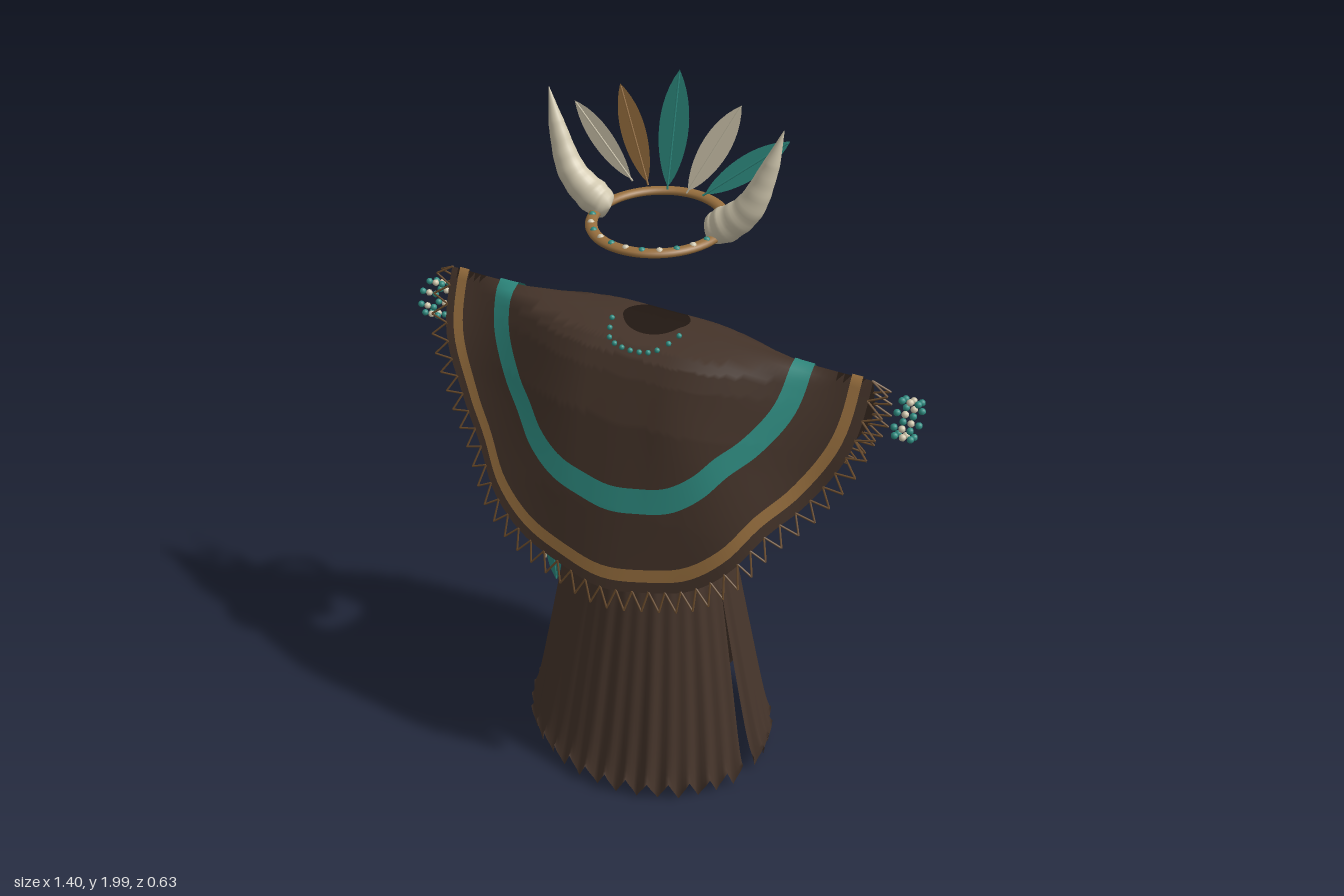
import * as THREE from 'three';
import { mergeGeometries } from 'three/addons/utils/BufferGeometryUtils.js';
import { ParametricGeometry } from 'three/addons/geometries/ParametricGeometry.js';

const V = (x, y, z = 0) => new THREE.Vector3(x, y, z);
const TAU = Math.PI * 2;

function material(name, color, side = THREE.FrontSide) {
  const m = new THREE.MeshStandardMaterial({ color, side });
  m.name = name;
  return m;
}
const hide = material('dark hide', 0x45342a, THREE.DoubleSide);
const skirtHide = material('skirt hide', 0x46352b, THREE.DoubleSide);
const teal = material('teal', 0x2f8d82, THREE.DoubleSide);
const tan = material('tan leather', 0x99703f, THREE.DoubleSide);
const cord = material('brown cord', 0x6b4c2c);
const bone = material('bone', 0xd0c7ae, THREE.DoubleSide);

function add(parent, name, geometry, mat, position) {
  const mesh = new THREE.Mesh(geometry, mat);
  mesh.name = name;
  if (position) mesh.position.copy(position);
  parent.add(mesh);
  return mesh;
}

// Piecewise linear lookup that extrapolates past the last point
function lookup(table, s) {
  let i = 1;
  while (i < table.length - 1 && s > table[i][0]) i++;
  const [a, b] = [table[i - 1], table[i]];
  return a[1] + (b[1] - a[1]) * (s - a[0]) / (b[0] - a[0]);
}

// Thin rod between two points
function rod(a, b, r, sides = 5) {
  const d = b.clone().sub(a);
  const g = new THREE.CylinderGeometry(r, r, d.length(), sides);
  g.applyQuaternion(new THREE.Quaternion().setFromUnitVectors(V(0, 1, 0), d.normalize()));
  return g.translate((a.x + b.x) / 2, (a.y + b.y) / 2, (a.z + b.z) / 2);
}

const beads = (points, r) => mergeGeometries(
  points.map((p) => new THREE.SphereGeometry(r, 10, 8).translate(p.x, p.y, p.z)));

// Poncho hem in cloth space: x across, y = signed drop from the shoulder fold
const quarter = [[0.585, 0], [0.57, 0.16], [0.49, 0.31], [0.41, 0.4], [0.34, 0.5], [0.24, 0.585], [0.12, 0.625], [0, 0.645]];
const half = [...quarter, ...quarter.slice(0, -1).reverse().map(([x, d]) => [-x, d])];
const hem = new THREE.CatmullRomCurve3(
  [...half, ...half.slice(1, -1).reverse().map(([x, d]) => [x, -d])].map(([x, d]) => V(x, d)), true);
hem.arcLengthDivisions = 800;
const drape = [[0, 0], [0.02, 0.1], [0.04, 0.125], [0.08, 0.148], [0.19, 0.19], [0.42, 0.245], [0.64, 0.29]];

// Poncho surface: u runs round the body, t runs from the neck (0) to the hem (1)
function cloth(u, t, out = V(0, 0)) {
  u = ((u % 1) + 1) % 1;
  const h = hem.getPointAt(u), a = u * TAU;
  const x = THREE.MathUtils.lerp(0.085 * Math.cos(a), h.x, t);
  const d = THREE.MathUtils.lerp((-0.035 + 0.085 * Math.sin(a)) * 0.2, h.y, t);
  const drop = Math.abs(d);
  const body = 1 - THREE.MathUtils.smoothstep(Math.abs(x), 0.1, 0.52);
  const z = lookup(drape, drop) * body + drop * 0.45 * (1 - body);
  const ripple = 0.006 * t * t * Math.sin(a * 9) * Math.min(1, drop * 4);
  return out.set(x, 1.405 - 0.025 * x - drop, Math.sign(d) * z + ripple);
}

// Point lifted off the cloth along its normal
function lifted(u, t, h, out = V(0, 0)) {
  const e = 0.004, p = cloth(u, t);
  const du = cloth(u + e, t).sub(cloth(u - e, t));
  const dt = cloth(u, t + e).sub(cloth(u, t - e));
  return out.copy(p).addScaledVector(du.cross(dt).normalize(), h);
}

function makePoncho() {
  const g = new THREE.Group();
  g.name = 'poncho';
  add(g, 'ponchoCloth', new ParametricGeometry((u, v, o) => cloth(u, v ** 1.6, o), 144, 44), hide);
  const band = (name, mat, t0, t1, rise) => add(g, name, new ParametricGeometry((u, v, o) => {
    const t = THREE.MathUtils.lerp(t0, t1, v) - rise * Math.abs(Math.sin(u * TAU));
    lifted(u, t, 0.005, o);
  }, 144, 5), mat);
  band('tealBand', teal, 0.6, 0.705, 0.055);
  band('tanBand', tan, 0.895, 0.95, 0);

  // Zigzag cord fringe
  const teeth = 84, rods = [];
  for (let i = 0; i < teeth; i++) {
    const tip = cloth((i + 0.5) / teeth, 1.085);
    rods.push(rod(cloth(i / teeth, 0.995), tip, 0.0028), rod(tip, cloth((i + 1) / teeth, 0.995), 0.0028));
  }
  add(g, 'hemFringe', mergeGeometries(rods), cord);

  const neck = Array.from({ length: 11 }, (_, i) => lifted(0.06 + 0.038 * i, 0.03, 0.004));
  add(g, 'neckBeads', beads(neck, 0.007), teal);
  return g;
}

// Rings of beads beside each shoulder
function makeShoulderBeads(side) {
  const g = new THREE.Group();
  g.name = side > 0 ? 'leftShoulderBeads' : 'rightShoulderBeads';
  [0.65, 0.67, 0.69].forEach((x, k) => {
    const ring = Array.from({ length: 8 }, (_, i) =>
      V(side * x, 1.285 + 0.047 * Math.sin(i * TAU / 8), -0.037 + 0.047 * Math.cos(i * TAU / 8)));
    add(g, 'beadRing', beads(ring, 0.009), k === 1 ? bone : teal);
  });
  return g;
}

function makeSkirt() {
  const g = new THREE.Group();
  g.name = 'skirt';
  const rx = [[0, 0.185], [0.1, 0.195], [0.32, 0.245], [1, 0.37]];
  const rz = [[0, 0.15], [0.1, 0.157], [0.32, 0.192], [1, 0.312]];
  const teeth = 36, slit = 0.28;
  // Pleated panel with a side slit and a pointed lower edge
  add(g, 'skirtPanel', new ParametricGeometry((u, v, o) => {
    const gap = Math.max(0, v - 0.34) * 0.11;
    const a = slit + gap + u * (TAU - 2 * gap);
    const tooth = Math.abs(2 * ((u * teeth) % 1) - 1);
    const pleat = 0.005 * v * (Math.cos(u * teeth * TAU) + 0.5 * Math.sin(u * 23 * TAU));
    o.set((lookup(rx, v) + pleat) * Math.cos(a),
      0.985 - 0.975 * v + 0.065 * tooth * v ** 14,
      (lookup(rz, v) + pleat) * Math.sin(a));
  }, teeth * 6, 28), skirtHide);
  const waist = new THREE.CylinderGeometry(1, 1.02, 0.06, 48, 1, true).scale(0.192, 1, 0.157);
  add(g, 'waistband', waist, hide, V(0, 0.96, 0));
  return g;
}

function makePouch() {
  const g = new THREE.Group();
  g.name = 'beltPouch';
  add(g, 'pouchBody', new THREE.SphereGeometry(0.042, 20, 14).scale(1, 1.15, 0.9), tan, V(0, 0, 0));
  add(g, 'pouchFlap', new THREE.CylinderGeometry(0.028, 0.044, 0.055, 20), hide, V(0, 0.035, 0));
  const strings = [-1, 1].map((s) => rod(V(s * 0.015, 0.05, 0), V(s * 0.03, 0.12, -0.015), 0.004));
  add(g, 'pouchStrings', mergeGeometries(strings), cord);
  g.position.set(0.2, 0.84, 0.155);
  return g;
}

// Flat leaf-shaped feather with a quill, from base to tip
function makeFeather(name, mat, base, tip, width) {
  const g = new THREE.Group();
  g.name = name;
  const d = tip.clone().sub(base), L = d.length(), w = width / 2;
  const s = new THREE.Shape();
  s.moveTo(0, 0);
  s.bezierCurveTo(w * 0.6, L * 0.1, w * 1.7, L * 0.6, 0, L);
  s.bezierCurveTo(-w * 1.7, L * 0.6, -w * 0.6, L * 0.1, 0, 0);
  add(g, 'vane', new THREE.ShapeGeometry(s, 16), mat);
  add(g, 'quill', rod(V(0, -0.008, 0), V(0, L * 0.97, 0), 0.0025), mat);
  g.position.copy(base);
  g.quaternion.setFromUnitVectors(V(0, 1, 0), d.normalize());
  return g;
}

// Tapered horn curving out and up
function makeHorn(side) {
  const path = new THREE.CatmullRomCurve3([
    V(-0.13, 1.668, -0.04), V(-0.165, 1.682, -0.04), V(-0.232, 1.74, -0.04), V(-0.275, 1.84, -0.05), V(-0.303, 1.938, -0.062)]);
  const radius = [[0, 0], [0.02, 0.03], [0.06, 0.04], [0.16, 0.044], [0.45, 0.034], [0.75, 0.02], [1, 0.001]];
  const geo = new ParametricGeometry((u, v, o) => {
    const p = path.getPointAt(v), t = path.getTangentAt(v), a = u * TAU;
    const across = V(-t.y, t.x, 0).normalize();
    const r = lookup(radius, v) * (1 + 0.03 * Math.sin(v * 50) * (1 - v));
    o.copy(p).addScaledVector(across, r * Math.cos(a));
    o.z += r * Math.sin(a) * 0.92;
    o.x *= -side;
  }, 24, 40);
  const g = new THREE.Group();
  g.name = side > 0 ? 'leftHorn' : 'rightHorn';
  add(g, 'horn', geo, bone);
  return g;
}

function makeHeadpiece() {
  const g = new THREE.Group();
  g.name = 'headpiece';
  const ring = new THREE.TorusGeometry(0.16, 0.015, 10, 64).rotateX(Math.PI / 2).scale(1, 0.7, 1.09);
  add(g, 'headband', ring, tan, V(0, 1.66, -0.043));
  const dots = Array.from({ length: 11 }, (_, i) => {
    const a = Math.PI * (0.1 + 0.08 * i);
    return V(0.16 * Math.cos(a), 1.666, -0.043 + 0.175 * Math.sin(a));
  });
  add(g, 'headbandTealBeads', beads(dots.filter((_, i) => i % 2 === 0), 0.009), teal);
  add(g, 'headbandBoneBeads', beads(dots.filter((_, i) => i % 2 === 1), 0.009), bone);
  g.add(makeHorn(1), makeHorn(-1));
  const feathers = [
    ['centreFeather', teal, 0, 0, 2.0, 0.085], ['rightInnerFeather', tan, -0.055, -0.158, 1.94, 0.075],
    ['leftInnerFeather', bone, 0.055, 0.16, 1.94, 0.075], ['rightOuterFeather', bone, -0.1, -0.285, 1.875, 0.065],
    ['leftOuterFeather', teal, 0.1, 0.285, 1.875, 0.065]];
  for (const [name, mat, x0, x1, y1, w] of feathers) {
    g.add(makeFeather(name, mat, V(x0, 1.73, -0.092), V(x1, y1, -0.153), w));
  }
  return g;
}

export function createModel() {
  const model = new THREE.Group();
  model.name = 'ceremonialOutfit';
  model.add(makePoncho(), makeShoulderBeads(1), makeShoulderBeads(-1), makeSkirt(), makePouch(), makeHeadpiece());
  // Feathers hanging from the waist
  model.add(makeFeather('tealHipFeather', teal, V(-0.2, 0.83, 0.2), V(-0.19, 0.64, 0.2), 0.05));
  model.add(makeFeather('boneHipFeather', bone, V(-0.205, 0.83, 0.195), V(-0.225, 0.7, 0.195), 0.03));
  add(model, 'hipFeatherCord', rod(V(-0.15, 0.97, 0.13), V(-0.2, 0.82, 0.2), 0.004), cord);
  return model;
}
